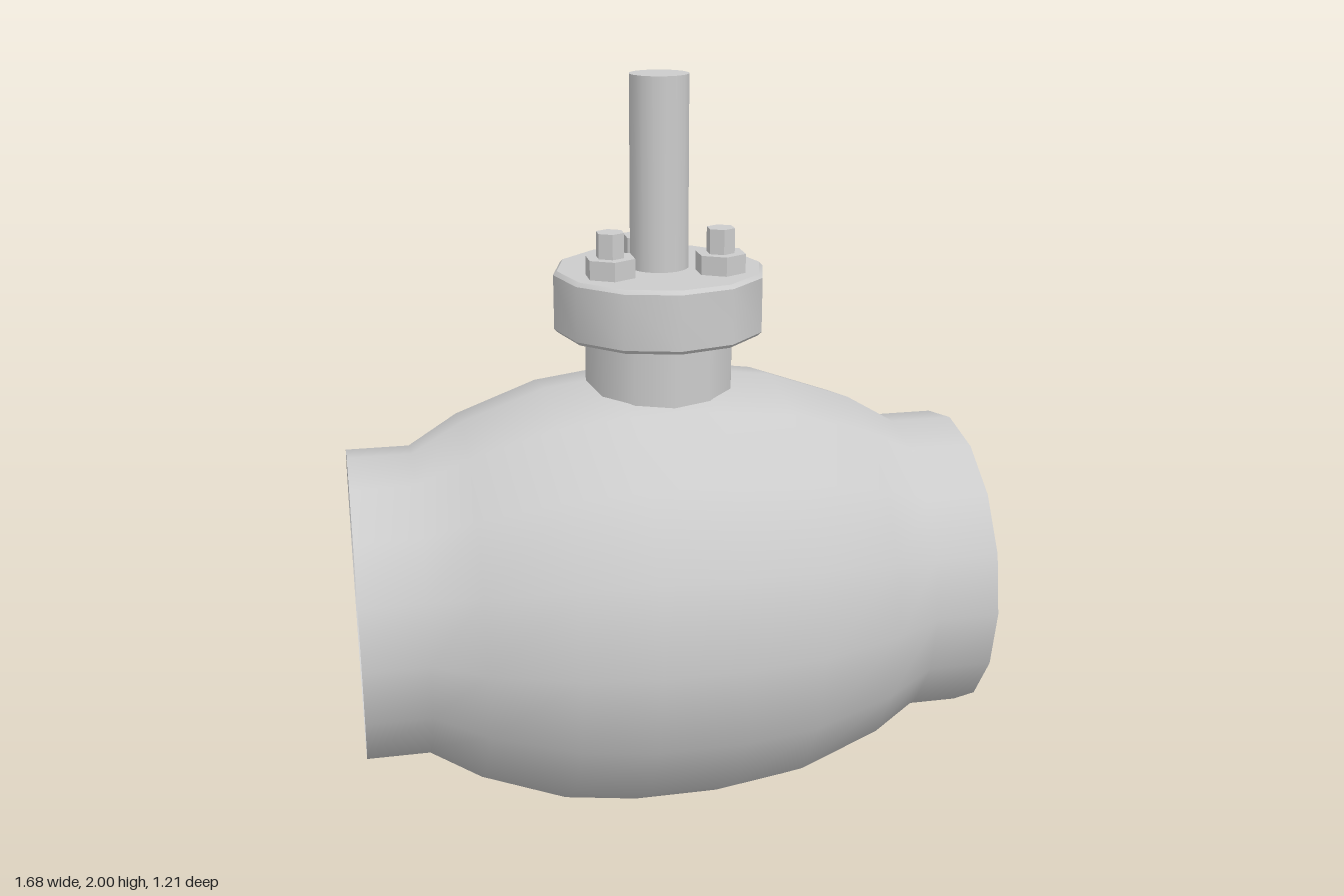
import * as THREE from 'three';
import { toCreasedNormals } from 'three/addons/utils/BufferGeometryUtils.js';

const AXIS_Y = 0.605; // height of the pipe axis
const smooth = new THREE.MeshStandardMaterial({ color: 0xcccccc });
const shell = new THREE.MeshStandardMaterial({ color: 0xcccccc, side: THREE.DoubleSide });
const faceted = new THREE.MeshStandardMaterial({ color: 0xcccccc, flatShading: true });

function addMesh(parent, name, geometry, material) {
  const mesh = new THREE.Mesh(geometry, material);
  mesh.name = name;
  parent.add(mesh);
  return mesh;
}

// Upright cylinder given by its bottom and top heights
function post(parent, name, radius, bottom, top, sides, material) {
  const geometry = new THREE.CylinderGeometry(radius, radius, top - bottom, sides);
  const mesh = addMesh(parent, name, geometry, material);
  mesh.position.y = (bottom + top) / 2;
  return mesh;
}

export function createModel() {
  const valve = new THREE.Group();
  valve.name = 'ballValve';

  // Open barrel-shaped body with straight pipe ends, lathed around the x axis
  const half = [[0.42, 0.84], [0.42, 0.67], [0.5, 0.535], [0.58, 0.31], [0.605, 0.115]];
  const profile = [
    ...half.map(([r, x]) => new THREE.Vector2(r, -x)),
    ...half.map(([r, x]) => new THREE.Vector2(r, x)).reverse(),
  ];
  const body = addMesh(valve, 'body', new THREE.LatheGeometry(profile, 16), shell);
  body.rotation.z = -Math.PI / 2;
  body.position.y = AXIS_Y;

  // Neck rising out of the body
  post(valve, 'neck', 0.2, 1.16, 1.34, 12, smooth);

  // Flange with slightly chamfered rims
  const rim = [[0, 1.335], [0.272, 1.335], [0.282, 1.345], [0.282, 1.49], [0.272, 1.5], [0, 1.5]];
  const flange = new THREE.LatheGeometry(rim.map(([r, y]) => new THREE.Vector2(r, y)), 12);
  addMesh(valve, 'flange', toCreasedNormals(flange, 0.6), smooth);

  // Stem
  post(valve, 'stem', 0.078, 1.49, 2, 16, smooth);

  // Three bolts with hexagonal nuts around the stem
  for (let i = 0; i < 3; i++) {
    const angle = Math.PI + (i * 2 * Math.PI) / 3;
    const bolt = new THREE.Group();
    bolt.name = `bolt${i + 1}`;
    bolt.position.set(0.168 * Math.sin(angle), 0, 0.168 * Math.cos(angle));
    post(bolt, 'nut', 0.068, 1.495, 1.55, 6, faceted);
    post(bolt, 'boltEnd', 0.038, 1.495, 1.615, 6, faceted);
    valve.add(bolt);
  }

  return valve;
}
